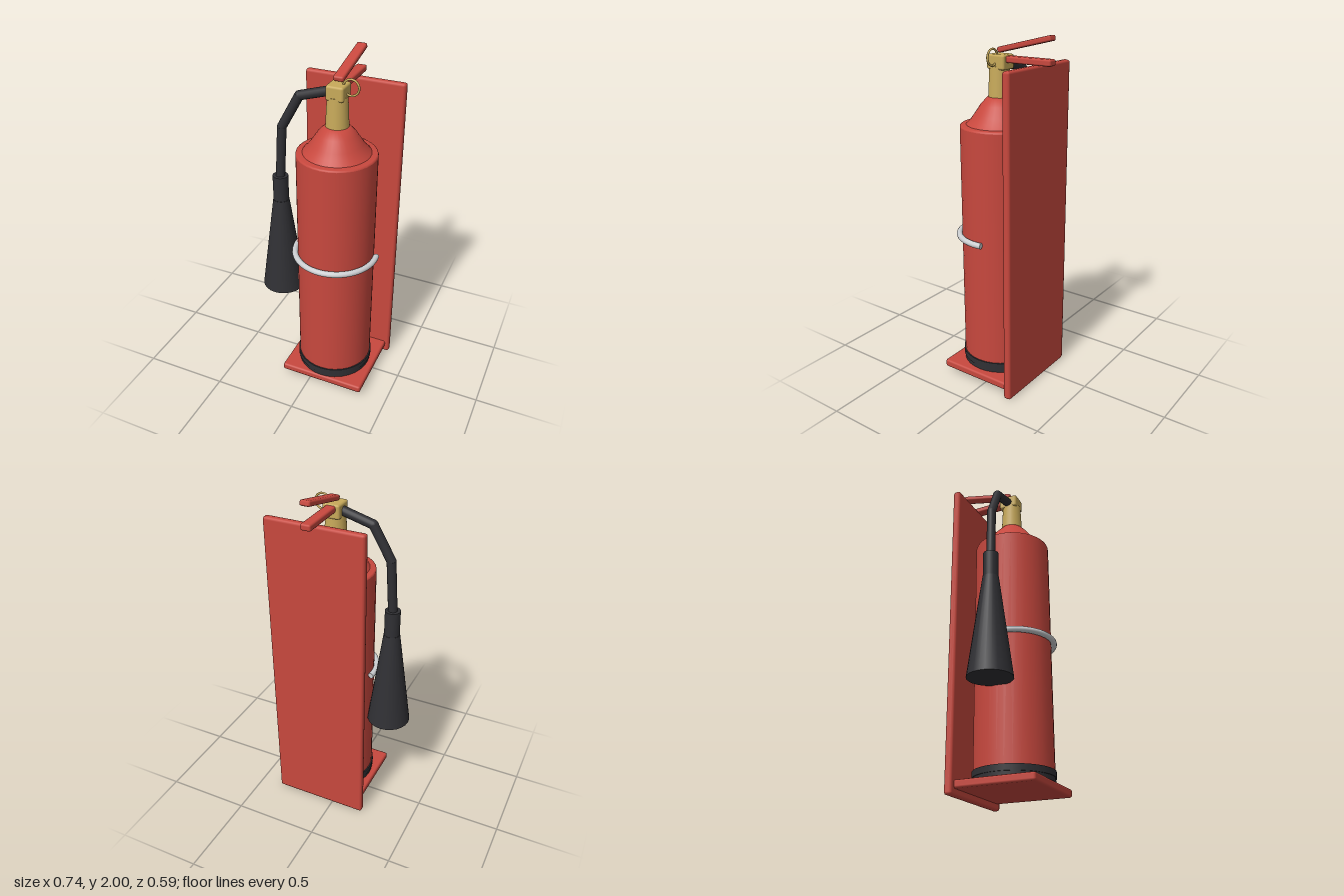
import * as THREE from 'three';
import { RoundedBoxGeometry } from 'three/addons/geometries/RoundedBoxGeometry.js';

const red = new THREE.MeshStandardMaterial({ name: 'red paint', color: 0xc8483e });
const black = new THREE.MeshStandardMaterial({ name: 'black rubber', color: 0x303034 });
const brass = new THREE.MeshStandardMaterial({ name: 'brass', color: 0xc8aa5a });
const silver = new THREE.MeshStandardMaterial({ name: 'silver', color: 0xcccfd2 });

// Axis of the bottle
const CX = 0.085, CZ = 0.04;

export function createModel() {
  const model = new THREE.Group();
  model.name = 'fireExtinguisher';

  function add(name, geometry, material, x = 0, y = 0, z = 0) {
    const mesh = new THREE.Mesh(geometry, material);
    mesh.name = name;
    mesh.position.set(x, y, z);
    model.add(mesh);
    return mesh;
  }
  const box = (w, h, d, r) => new RoundedBoxGeometry(w, h, d, 1, r);
  const lathe = (points, sides = 32) =>
    new THREE.LatheGeometry(points.map(([r, y]) => new THREE.Vector2(r, y)), sides);

  // Wall bracket
  add('backPlate', box(0.57, 1.845, 0.045, 0.014), red, CX, 0.9225, -0.2025);
  add('shelf', box(0.515, 0.045, 0.47, 0.012), red, CX + 0.003, 0.058, 0.035);

  // Bottle
  add('bottleBody', new THREE.CylinderGeometry(0.22, 0.22, 1.36, 32, 1, true), red, CX, 0.82, CZ);
  add('bottleRim', lathe([[0.22, 1.5], [0.218, 1.506], [0.212, 1.51], [0.17, 1.512]]), red, CX, 0, CZ);
  add('shoulder', lathe([[0.188, 1.508], [0.162, 1.535], [0.14, 1.565], [0.105, 1.618], [0.066, 1.66], [0, 1.662]]), red, CX, 0, CZ);

  // Rubber foot in two steps
  add('footLower', new THREE.CylinderGeometry(0.222, 0.222, 0.035, 32), black, CX, 0.0975, CZ);
  add('footUpper', new THREE.CylinderGeometry(0.227, 0.227, 0.035, 32), black, CX, 0.124, CZ);

  // Valve
  add('valveNeck', new THREE.CylinderGeometry(0.055, 0.063, 0.17, 24), brass, CX, 1.738, CZ);
  add('valveBlock', box(0.1, 0.08, 0.113, 0.012), brass, CX, 1.845, 0.034);
  add('pinRing', new THREE.TorusGeometry(0.043, 0.006, 8, 28), brass, 0.155, 1.873, 0.034);

  // Levers
  add('lowerLever', box(0.058, 0.035, 0.31, 0.01), red, CX, 1.861, -0.14);
  const handle = add('upperLever', box(0.058, 0.03, 0.34, 0.01), red, CX, 1.945, -0.127);
  handle.rotation.x = Math.atan2(0.078, 0.325);

  // Hose: straight lengths with ball joints at the bends
  const path = [[0.05, 1.843, 0.034], [-0.128, 1.79, 0.043], [-0.23, 1.6, 0.055], [-0.247, 1.29, 0.061]]
    .map((p) => new THREE.Vector3(...p));
  const up = new THREE.Vector3(0, 1, 0);
  for (let i = 0; i < path.length - 1; i++) {
    const dir = path[i + 1].clone().sub(path[i]);
    const mid = path[i].clone().addScaledVector(dir, 0.5);
    const hose = add('hose', new THREE.CylinderGeometry(0.026, 0.026, dir.length(), 16), black, mid.x, mid.y, mid.z);
    hose.quaternion.setFromUnitVectors(up, dir.normalize());
    if (i > 0) add('hoseBend', new THREE.SphereGeometry(0.026, 16, 12), black, path[i].x, path[i].y, path[i].z);
  }

  // Discharge horn
  add('hornSleeve', new THREE.CylinderGeometry(0.044, 0.044, 0.15, 24), black, -0.247, 1.23, 0.061);
  add('horn', new THREE.CylinderGeometry(0.046, 0.126, 0.59, 24), black, -0.247, 0.86, 0.061);

  // Retaining band around the front half of the bottle
  const arc = Math.PI * 1.1;
  const bandGeometry = new THREE.TorusGeometry(0.236, 0.017, 12, 32, arc);
  bandGeometry.rotateZ((Math.PI - arc) / 2);
  bandGeometry.rotateX(Math.PI / 2);
  add('retainingBand', bandGeometry, silver, CX, 0.875, CZ);
  for (const side of [-1, 1]) {
    const a = (arc - Math.PI) / 2;
    const cap = add('bandEnd', new THREE.CircleGeometry(0.017, 12), silver,
      CX + side * 0.236 * Math.cos(a), 0.875, CZ - 0.236 * Math.sin(a));
    cap.rotation.y = Math.PI + side * a;
  }

  return model;
}
